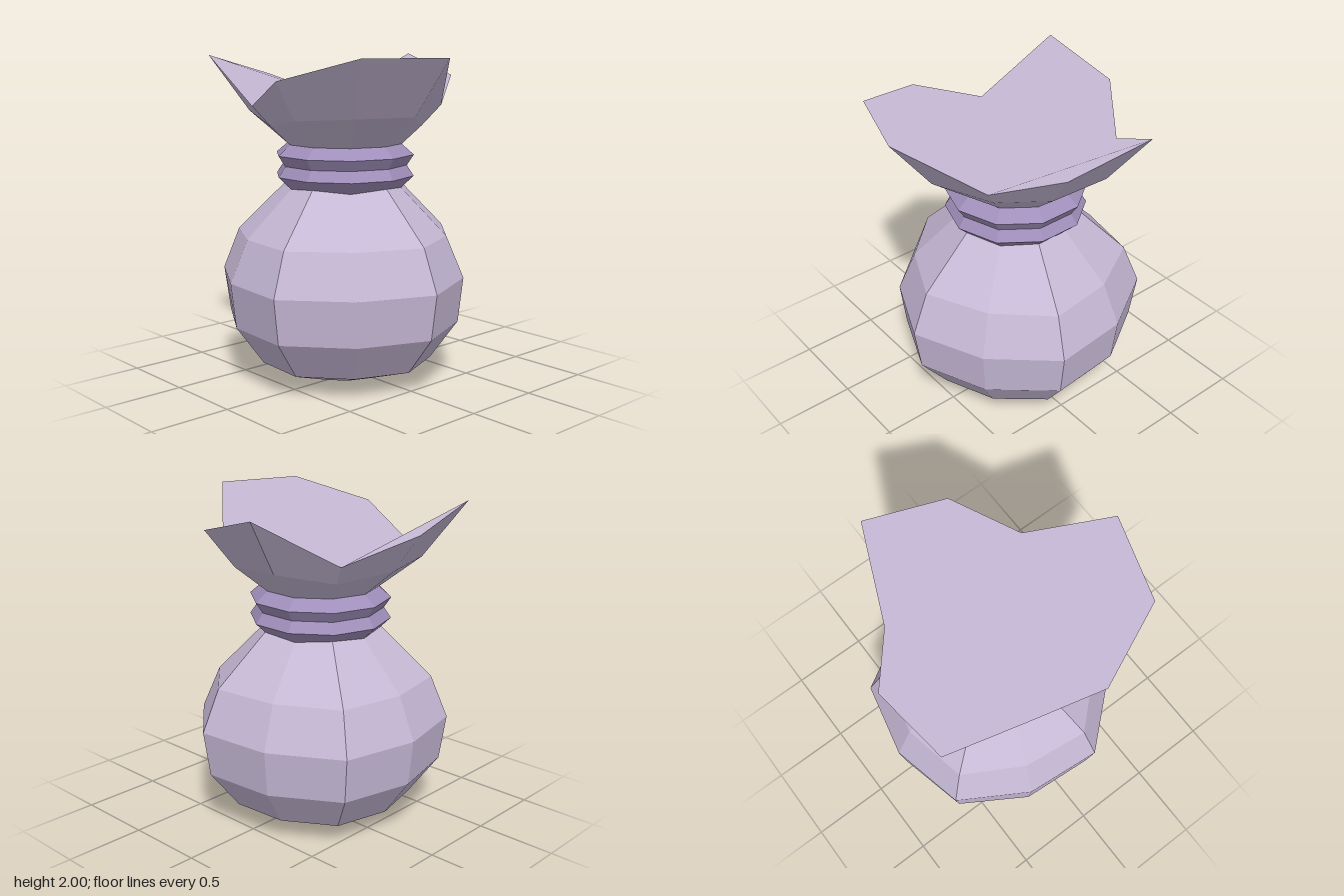
import * as THREE from 'three';

const SIDES = 10, CX = -0.056, CZ = 0.04;

// A ten-point ring; radius and height may vary with the point's index.
function ring(radius, height) {
  return Array.from({ length: SIDES }, (_, i) => {
    const a = (i / SIDES) * Math.PI * 2;
    const r = typeof radius === 'function' ? radius(i) : radius;
    const y = typeof height === 'function' ? height(i) : height;
    return new THREE.Vector3(CX + r * Math.cos(a), y, CZ + r * Math.sin(a));
  });
}

// Collects faces, each made of triangles that share one flat normal.
class Faces {
  positions = [];
  normals = [];

  add(points, triangles) {
    const normal = new THREE.Vector3();
    for (const [a, b, c] of triangles) {
      const u = points[b].clone().sub(points[a]);
      const v = points[c].clone().sub(points[a]);
      normal.add(u.cross(v));
    }
    normal.normalize();
    for (const k of triangles.flat()) {
      this.positions.push(...points[k].toArray());
      this.normals.push(...normal.toArray());
    }
  }

  // Quads between successive rings, listed from bottom to top
  loft(rings) {
    for (let r = 0; r + 1 < rings.length; r++) {
      const low = rings[r], high = rings[r + 1];
      for (let i = 0; i < SIDES; i++) {
        const j = (i + 1) % SIDES;
        this.add([low[i], high[i], high[j], low[j]], [[0, 1, 2], [0, 2, 3]]);
      }
    }
    return this;
  }

  mesh(name, material) {
    const geometry = new THREE.BufferGeometry();
    geometry.setAttribute('position', new THREE.Float32BufferAttribute(this.positions, 3));
    geometry.setAttribute('normal', new THREE.Float32BufferAttribute(this.normals, 3));
    const mesh = new THREE.Mesh(geometry, material);
    mesh.name = name;
    return mesh;
  }
}

export function createModel() {
  const cloth = new THREE.MeshStandardMaterial({ color: 0xc6b9d6 });
  cloth.name = 'pale lilac cloth';
  const cord = new THREE.MeshStandardMaterial({ color: 0xa08fbb });
  cord.name = 'purple cord';
  const model = new THREE.Group();
  model.name = 'tiedPouch';

  // Round pouch: five vertical seams with flatter points between them
  const pouchProfile = [ // height, seam radius, radius between seams
    [0, 0.206, 0.194], [0.13, 0.574, 0.548], [0.37, 0.756, 0.718], [0.65, 0.796, 0.749],
    [0.91, 0.69, 0.638], [1.22, 0.375, 0.336], [1.28, 0.32, 0.29],
  ];
  const pouchRings = pouchProfile.map(([y, seam, between]) =>
    ring((i) => (i % 2 ? between : seam), y));
  const pouch = new Faces().loft(pouchRings);
  const fan = Array.from({ length: SIDES - 2 }, (_, i) => [0, i + 1, i + 2]);
  pouch.add(pouchRings[0], fan);
  model.add(pouch.mesh('pouch', cloth));

  // Two wraps of cord around the neck
  const cordProfile = [
    [1.18, 0.335], [1.275, 0.433], [1.34, 0.39], [1.405, 0.433], [1.47, 0.358],
  ];
  const cordRings = cordProfile.map(([y, r]) => ring(r, y));
  model.add(new Faces().loft(cordRings).mesh('neckCord', cord));

  // Ruffled opening: each rim point is a peak (0), a slope (1) or a dip (2)
  const kind = [0, 0, 1, 2, 0, 1, 2, 0, 1, 2];
  const pick = (values) => (i) => values[kind[i]];
  const rim = ring(pick([0.867, 0.747, 0.595]), pick([2, 1.872, 1.71]));
  const ruffle = new Faces().loft([
    ring(0.358, 1.47),
    ring(pick([0.608, 0.566, 0.48]), pick([1.66, 1.64, 1.585])),
    rim,
  ]);
  model.add(ruffle.mesh('ruffle', cloth));

  // Cloth closing the mouth: sunk between the dips, rising to the peaks
  const mouth = new Faces();
  mouth.add(rim, [
    [9, 6, 3], [6, 4, 3], [6, 5, 4], [9, 7, 6], [9, 8, 7], [1, 0, 9], [3, 1, 9], [3, 2, 1],
  ]);
  model.add(mouth.mesh('mouth', cloth));

  return model;
}
